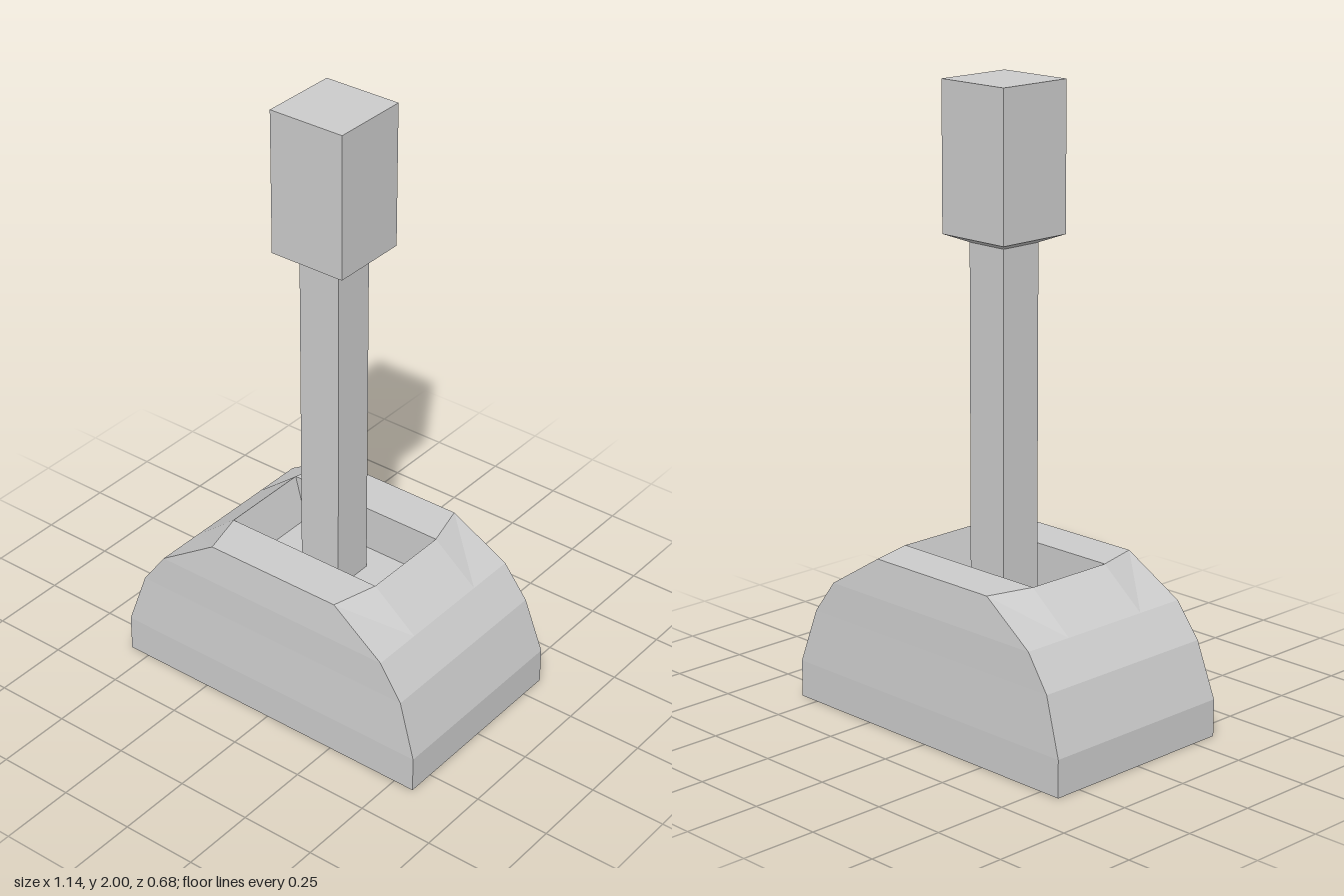
import * as THREE from 'three';

// Joins rings of points from bottom to top into a faceted surface
function skin(rings) {
  const pos = [];
  const tri = (...pts) => {
    const [a, b, c] = pts;
    const area = b.clone().sub(a).cross(c.clone().sub(a)).length();
    if (area > 1e-7) pts.forEach(p => pos.push(p.x, p.y, p.z));
  };
  for (let r = 0; r < rings.length - 1; r++) {
    const lo = rings[r], hi = rings[r + 1], n = lo.length;
    for (let i = 0; i < n; i++) {
      const j = (i + 1) % n;
      const a = lo[i], b = lo[j], c = hi[j], d = hi[i];
      // diagonals mirrored from corner to corner
      if (i % 4 === 0) { tri(a, b, d); tri(b, c, d); }
      else { tri(a, b, c); tri(a, c, d); }
    }
  }
  const geo = new THREE.BufferGeometry();
  geo.setAttribute('position', new THREE.Float32BufferAttribute(pos, 3));
  geo.computeVertexNormals();
  return geo;
}

// Ring of 8 points: outer corners (x, z) and points beside the slot (mx, mz)
const ring = (y, x, z, mx = x, mz = 0.155) =>
  [[x, z], [mx, mz], [mx, -mz], [x, -z], [-x, -z], [-mx, -mz], [-mx, mz], [-x, z]]
    .map(([px, pz]) => new THREE.Vector3(px, y, pz));

// Ring of 4 points: square of half width h
const square = (y, h) =>
  [[h, h], [h, -h], [-h, -h], [-h, h]].map(([x, z]) => new THREE.Vector3(x, y, z));

export function createModel() {
  const group = new THREE.Group();
  const material = new THREE.MeshStandardMaterial({ color: 0xcccccc, flatShading: true });
  const add = (name, geo, y = 0) => {
    const mesh = new THREE.Mesh(geo, material);
    mesh.name = name;
    mesh.position.y = y;
    group.add(mesh);
  };

  // Domed housing with a recessed slot in its top
  const floorY = 0.38;
  add('base', skin([
    ring(0, 0, 0, 0, 0),
    ring(0, 0.57, 0.34),
    ring(0.12, 0.57, 0.34),
    ring(0.30, 0.51, 0.328),
    ring(0.41, 0.43, 0.323),
    ring(0.53, 0.24, 0.307, 0.28),
    ring(0.53, 0.28, 0.155),
    ring(floorY, 0.24, 0.155),
    ring(floorY, 0, 0, 0, 0),
  ]));

  // Square lever rising from the slot floor
  const leverHeight = 1.52 - floorY;
  add('lever', new THREE.BoxGeometry(0.145, leverHeight, 0.145), floorY + leverHeight / 2);

  // Handle block with a bevelled underside
  add('handle', skin([
    square(1.51, 0), square(1.51, 0.072), square(1.535, 0.13), square(2, 0.13), square(2, 0),
  ]));

  return group;
}
